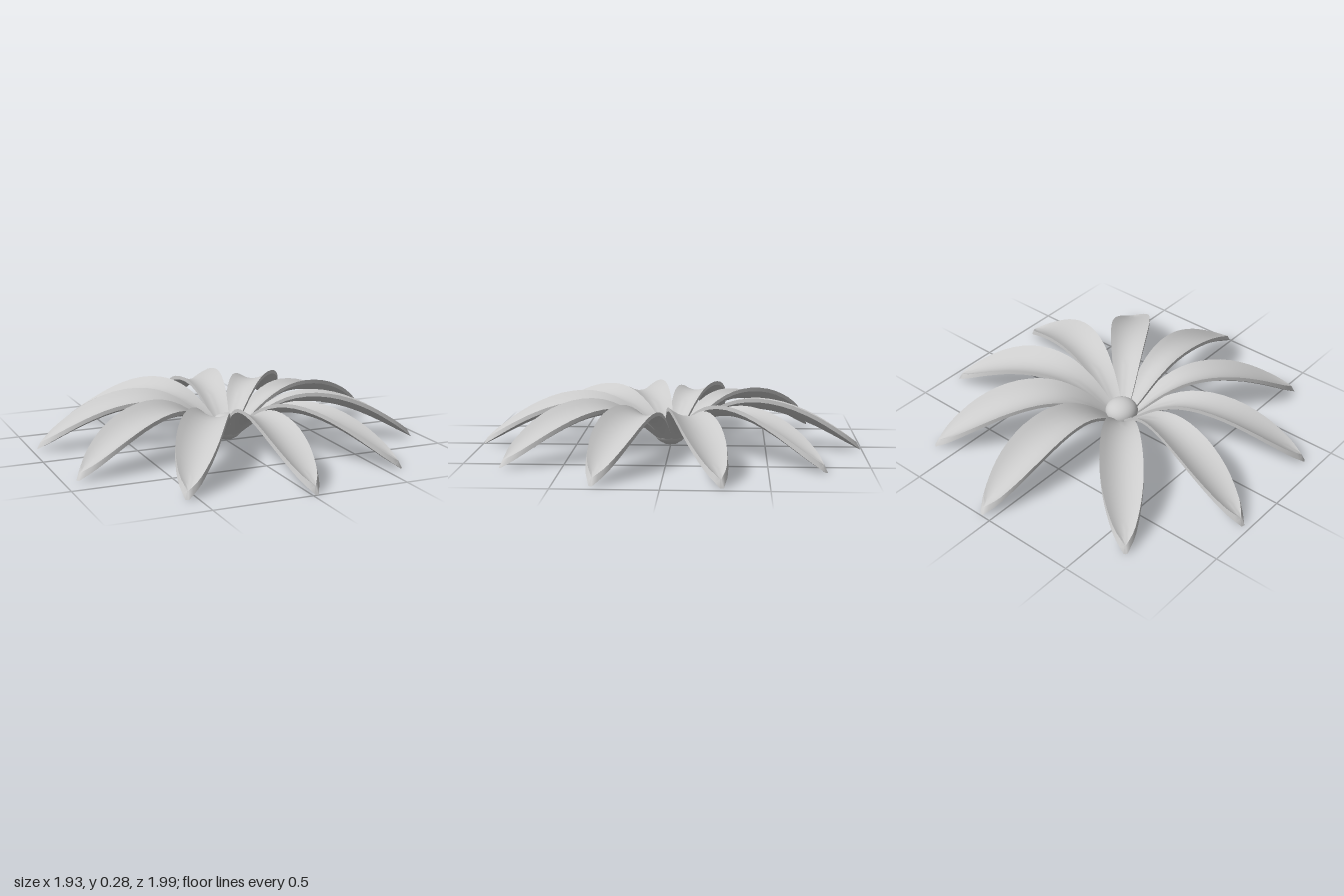
import * as THREE from 'three';
import { toCreasedNormals } from 'three/addons/utils/BufferGeometryUtils.js';

const PETALS = 10;
const FIRST_ANGLE = -86.5, STEP = 35.05; // degrees; leaves one wider gap
const ACROSS = 8, ALONG = 22;

// Petal midline: (distance from centre, height of upper face, half width)
const midline = new THREE.CatmullRomCurve3([
  [0.035, 0.03, 0.025], [0.1, 0.085, 0.045], [0.2, 0.16, 0.066], [0.32, 0.214, 0.085],
  [0.45, 0.228, 0.1], [0.6, 0.204, 0.107], [0.74, 0.153, 0.098], [0.84, 0.105, 0.076],
  [0.92, 0.064, 0.045], [0.975, 0.038, 0.003],
].map(p => new THREE.Vector3(...p)));

// Arched, channelled petal pointing along +x, closed into a thin solid
function petalGeometry() {
  const pos = [], index = [];
  const ring = 2 * (ACROSS + 1);
  for (let i = 0; i <= ALONG; i++) {
    const t = i / ALONG;
    const { x: r, y, z: w } = midline.getPoint(t);
    const thick = 0.018 + 0.02 * t ** 3;
    const flare = t ** 4;
    const shift = 0.012 * Math.sin(Math.PI * t);
    for (let k = 0; k < ring; k++) {
      const under = k > ACROSS;
      const u = (under ? ring - 1 - k : k) / ACROSS * 2 - 1;
      const top = y + 0.36 * w * u * u + 0.14 * w * u; // cupped, one edge higher
      const half = w + (under ? 0.006 * flare : 0);
      pos.push(r + (under ? 0.02 * flare : 0), top - (under ? thick : 0), u * half + shift);
    }
  }
  for (let i = 0; i < ALONG; i++) {
    for (let k = 0; k < ring; k++) {
      const n = (k + 1) % ring;
      const a = i * ring + k, b = i * ring + n, c = a + ring, d = b + ring;
      index.push(a, b, c, b, d, c);
    }
  }
  // End caps
  const last = ALONG * ring;
  for (let k = 0; k < ACROSS; k++) {
    const m = ring - 1 - k;
    index.push(k, m, k + 1, k + 1, m, m - 1);
    index.push(last + k, last + k + 1, last + m, last + k + 1, last + m - 1, last + m);
  }
  const geo = new THREE.BufferGeometry();
  geo.setAttribute('position', new THREE.Float32BufferAttribute(pos, 3));
  geo.setIndex(index);
  return toCreasedNormals(geo, 0.7);
}

export function createModel() {
  const model = new THREE.Group();
  model.name = 'flower';
  const material = new THREE.MeshStandardMaterial({ color: 0xcccccc });

  // Petals
  const petals = new THREE.Group();
  petals.name = 'petals';
  const geo = petalGeometry();
  for (let i = 0; i < PETALS; i++) {
    const petal = new THREE.Mesh(geo, material);
    petal.name = 'petal';
    petal.rotation.y = -THREE.MathUtils.degToRad(FIRST_ANGLE + STEP * i);
    petals.add(petal);
  }
  model.add(petals);

  // Rounded centre
  const centre = new THREE.Mesh(new THREE.SphereGeometry(0.087, 32, 20), material);
  centre.name = 'flowerCentre';
  centre.scale.y = 0.8;
  centre.position.y = 0.078;
  model.add(centre);

  return model;
}
